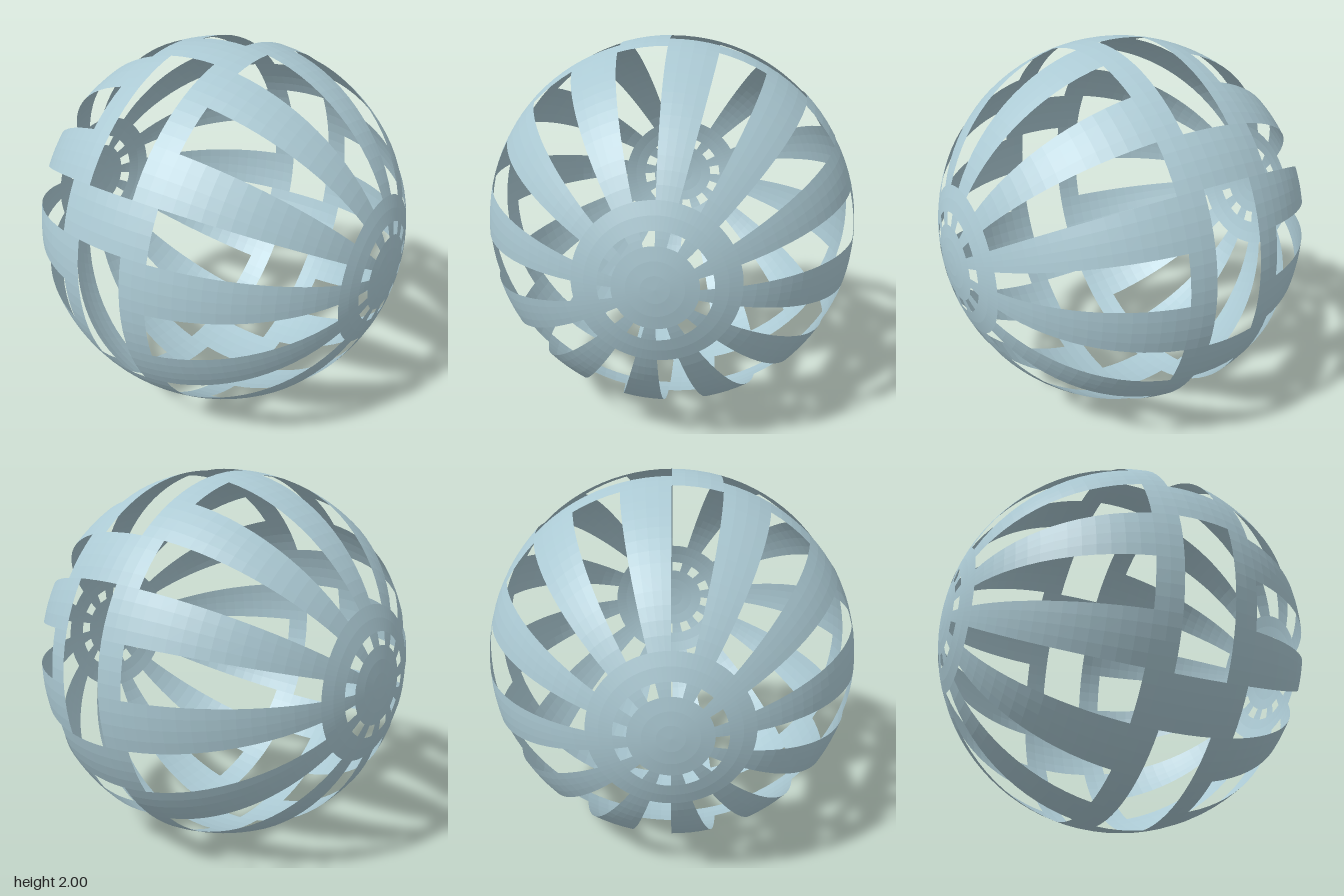
import * as THREE from 'three';
import { mergeGeometries } from 'three/addons/utils/BufferGeometryUtils.js';

const STEP = 3.75; // degrees covered by one facet
const rad = THREE.MathUtils.degToRad;

// Piece of a unit sphere whose poles lie on the x axis.
// p0..p1: degrees from the +x pole; a0..a1: degrees from +z towards +y.
function patch(p0, p1, a0 = 0, a1 = 360) {
  const g = new THREE.SphereGeometry(
    1, Math.round((a1 - a0) / STEP), Math.round((p1 - p0) / STEP),
    rad(90 - a1), rad(a1 - a0), rad(p0), rad(p1 - p0));
  return g.rotateZ(-Math.PI / 2);
}

// Equal patches repeated around the x axis
function around(count, p0, p1, start, width) {
  const list = [];
  for (let i = 0; i < count; i++) {
    const a = start + i * 360 / count;
    list.push(patch(p0, p1, a, a + width));
  }
  return mergeGeometries(list);
}

export function createModel() {
  const model = new THREE.Group();
  model.name = 'slottedSphere';
  const shell = new THREE.MeshStandardMaterial({
    name: 'paleBlue', color: 0xabc9d3, side: THREE.DoubleSide, flatShading: true,
  });

  const add = (name, geometry) => {
    const mesh = new THREE.Mesh(geometry, shell);
    mesh.name = name;
    mesh.position.y = 1;
    model.add(mesh);
  };

  for (const [side, left] of [['left', true], ['right', false]]) {
    // Polar range, reflected for the -x half
    const range = (p0, p1) => (left ? [p0, p1] : [180 - p1, 180 - p0]);
    add(side + 'PoleCap', patch(...range(0, 11.25)));
    add(side + 'CapSpokes', around(12, ...range(11.25, 15), 0, 15));
    add(side + 'HubRing', patch(...range(15, 22.5)));
    add(side + 'Ribs', around(12, ...range(22.5, 75), 0, 15));
    add(side + 'BeltRing', patch(...range(75, 82.5)));
  }

  // Short bridges joining the two belt rings
  add('beltBridges', around(6, 82.5, 97.5, 15, 15));
  return model;
}
